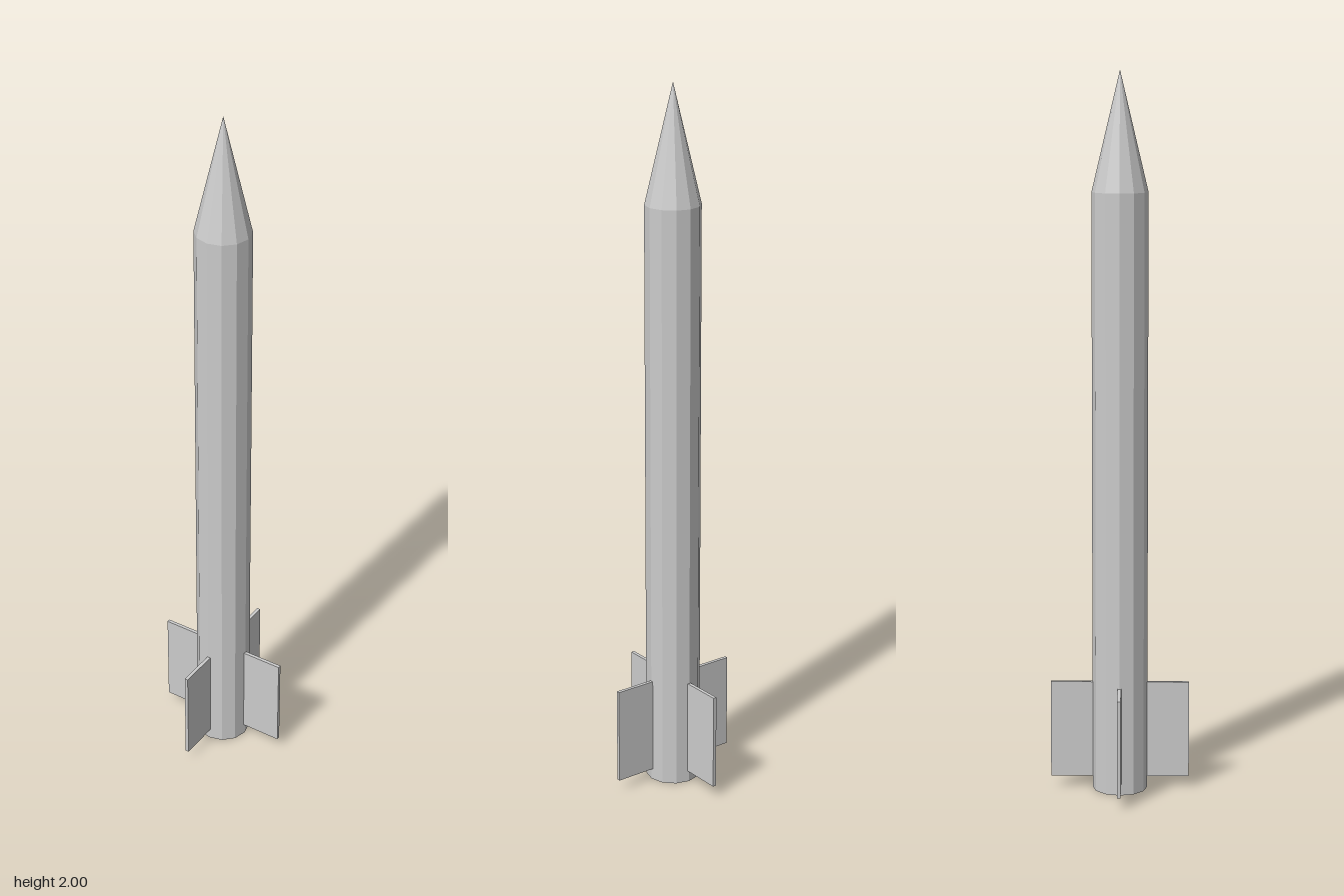
import * as THREE from 'three';

export function createModel() {
  const group = new THREE.Group();
  const material = new THREE.MeshStandardMaterial({ color: 0xcccccc, flatShading: true });
  const radius = 0.077, sides = 12, shoulder = 1.675;

  function add(name, geometry, x, y, z) {
    const mesh = new THREE.Mesh(geometry, material);
    mesh.name = name;
    mesh.position.set(x, y, z);
    group.add(mesh);
    return mesh;
  }

  // Straight faceted body with a pointed nose
  add('body', new THREE.CylinderGeometry(radius, radius, shoulder, sides), 0, shoulder / 2, 0);
  add('noseCone', new THREE.ConeGeometry(radius, 2 - shoulder, sides), 0, (2 + shoulder) / 2, 0);

  // Four thin rectangular fins, rooted just inside the body
  const inner = 0.07, outer = 0.194, bottom = 0.033, top = 0.308;
  const fin = new THREE.BoxGeometry(outer - inner, top - bottom, 0.01);
  const reach = (inner + outer) / 2;
  ['finLeft', 'finBack', 'finRight', 'finFront'].forEach((name, i) => {
    const a = i * Math.PI / 2;
    add(name, fin, Math.cos(a) * reach, (bottom + top) / 2, -Math.sin(a) * reach).rotation.y = a;
  });

  return group;
}
